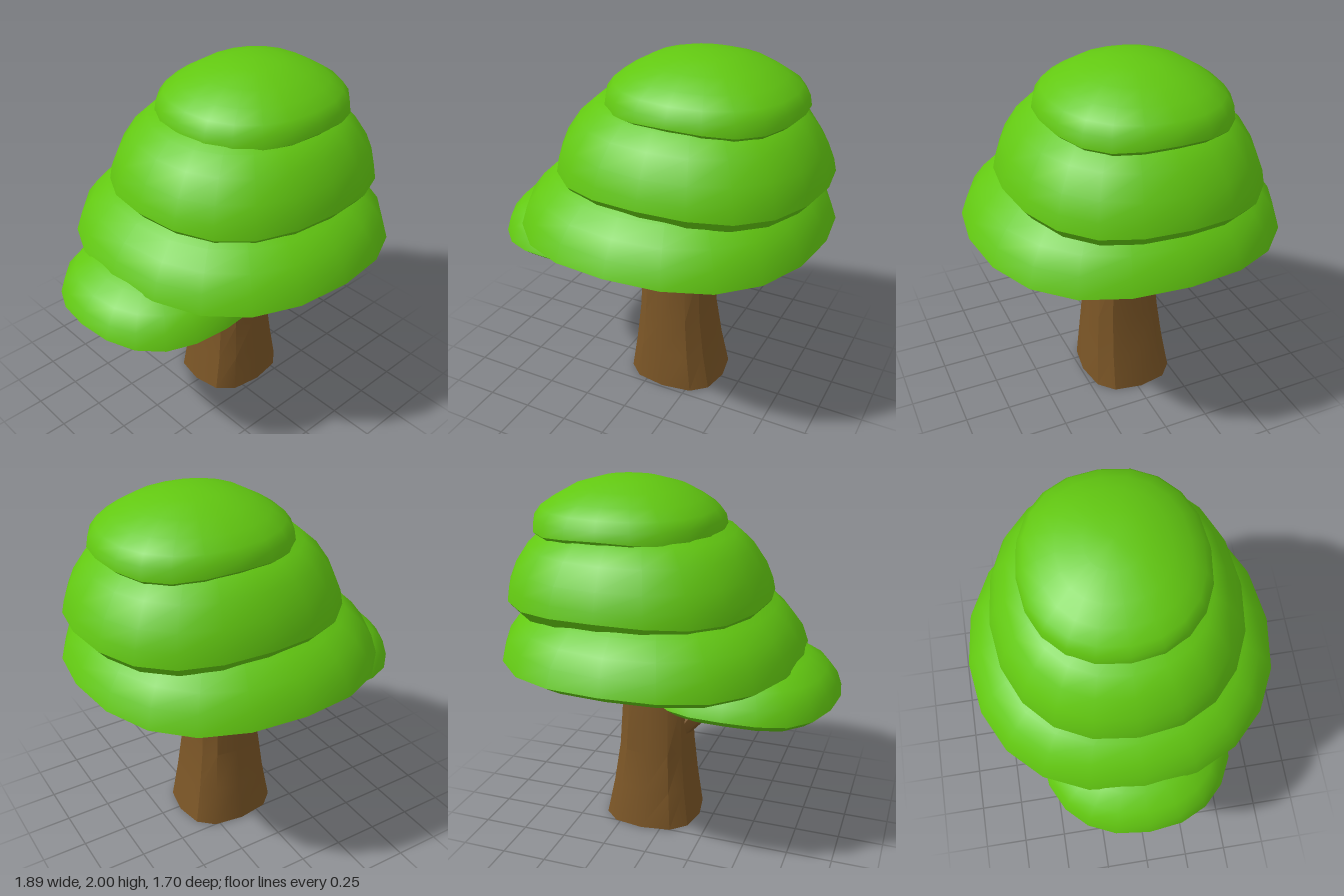
import * as THREE from 'three';
import { toCreasedNormals } from 'three/addons/utils/BufferGeometryUtils.js';

// Rounded-square cross-section: exponent n, 2 = ellipse, larger = squarer
const bend = (v, n) => Math.sign(v) * Math.pow(Math.abs(v), 2 / n);

// Skin over horizontal rings [cx, y, cz, rx, rz, wave], listed bottom to top
function loft(rings, sides, n, crease) {
  const pos = [], index = [];
  rings.forEach(([cx, y, cz, rx, rz, wave = 0]) => {
    for (let i = 0; i < sides; i++) {
      const a = (i / sides) * Math.PI * 2;
      pos.push(cx + rx * bend(Math.cos(a), n), y + wave * Math.cos(4 * a), cz + rz * bend(Math.sin(a), n));
    }
  });
  for (let r = 0; r < rings.length - 1; r++) {
    for (let i = 0; i < sides; i++) {
      const a = r * sides + i, b = r * sides + (i + 1) % sides;
      index.push(a, a + sides, b, b, a + sides, b + sides);
    }
  }
  const g = new THREE.BufferGeometry();
  g.setAttribute('position', new THREE.Float32BufferAttribute(pos, 3));
  g.setIndex(index);
  return toCreasedNormals(g, crease);
}

export function createModel() {
  const tree = new THREE.Group();
  tree.name = 'tree';
  const leaf = new THREE.MeshStandardMaterial({ color: 0x62c811 });
  const bark = new THREE.MeshStandardMaterial({ color: 0x7a5526, side: THREE.DoubleSide });
  const add = (name, geometry, material) => {
    const m = new THREE.Mesh(geometry, material);
    m.name = name;
    tree.add(m);
  };

  // Foliage layers: flat underside, turned-in lip, domed top.
  // Profile points are [fraction of radius, height above the underside].
  const layers = [
    { name: 'sideFoliage', x: -0.43, y: 0.82, rx: 0.52, rz: 0.53,
      profile: [[0.88, 0], [1, 0.05], [0.95, 0.13], [0.84, 0.2], [0.66, 0.26], [0.4, 0.31], [0, 0.33]] },
    { name: 'lowerFoliage', x: 0.1, y: 1.005, rx: 0.845, rz: 0.85,
      profile: [[0.89, 0], [1, 0.06], [0.96, 0.16], [0.89, 0.24], [0.79, 0.32], [0.5, 0.43], [0, 0.49]] },
    { name: 'middleFoliage', x: 0.19, y: 1.31, rx: 0.74, rz: 0.68,
      profile: [[0.93, 0], [1, 0.06], [0.98, 0.13], [0.93, 0.22], [0.83, 0.33], [0.71, 0.41], [0.45, 0.48], [0, 0.52]] },
    { name: 'topFoliage', x: 0.25, y: 1.7, rx: 0.53, rz: 0.49,
      profile: [[0.93, 0], [1, 0.03], [0.98, 0.09], [0.91, 0.14], [0.77, 0.19], [0.58, 0.245], [0.3, 0.287], [0, 0.3]] },
  ];
  for (const { name, x, y, rx, rz, profile } of layers) {
    const rings = [[x, y + 0.015, 0, 0, 0]]; // centre of the underside
    profile.forEach(([f, h], i) => {
      rings.push([x, y + h, 0, rx * f, rz * f, i < 2 ? 0.012 : 0]);
    });
    add(name, loft(rings, 20, 2.2, 0.75), leaf);
  }

  // Trunk: flared open base, narrowing into the branch under the main crown
  add('trunk', loft([
    [0.11, 0, -0.02, 0.28, 0.257],
    [0.105, 0.22, -0.01, 0.24, 0.23],
    [0.1, 0.45, -0.005, 0.21, 0.205],
    [0.095, 0.74, -0.005, 0.195, 0.185],
    [0.115, 0.84, -0.005, 0.17, 0.175],
    [0.17, 0.92, -0.005, 0.115, 0.125],
    [0.265, 1.02, -0.005, 0.08, 0.11],
    [0.32, 1.1, -0.005, 0.08, 0.1],
  ], 12, 2.7, 0.6), bark);

  // Side branch rising into the small foliage
  add('sideBranch', loft([
    [-0.02, 0.52, 0, 0.08, 0.09],
    [-0.11, 0.64, 0, 0.1, 0.08],
    [-0.18, 0.7, 0, 0.1, 0.07],
    [-0.25, 0.78, 0, 0.08, 0.06],
    [-0.31, 0.9, 0, 0.07, 0.055],
  ], 8, 2, 0.6), bark);

  return tree;
}
